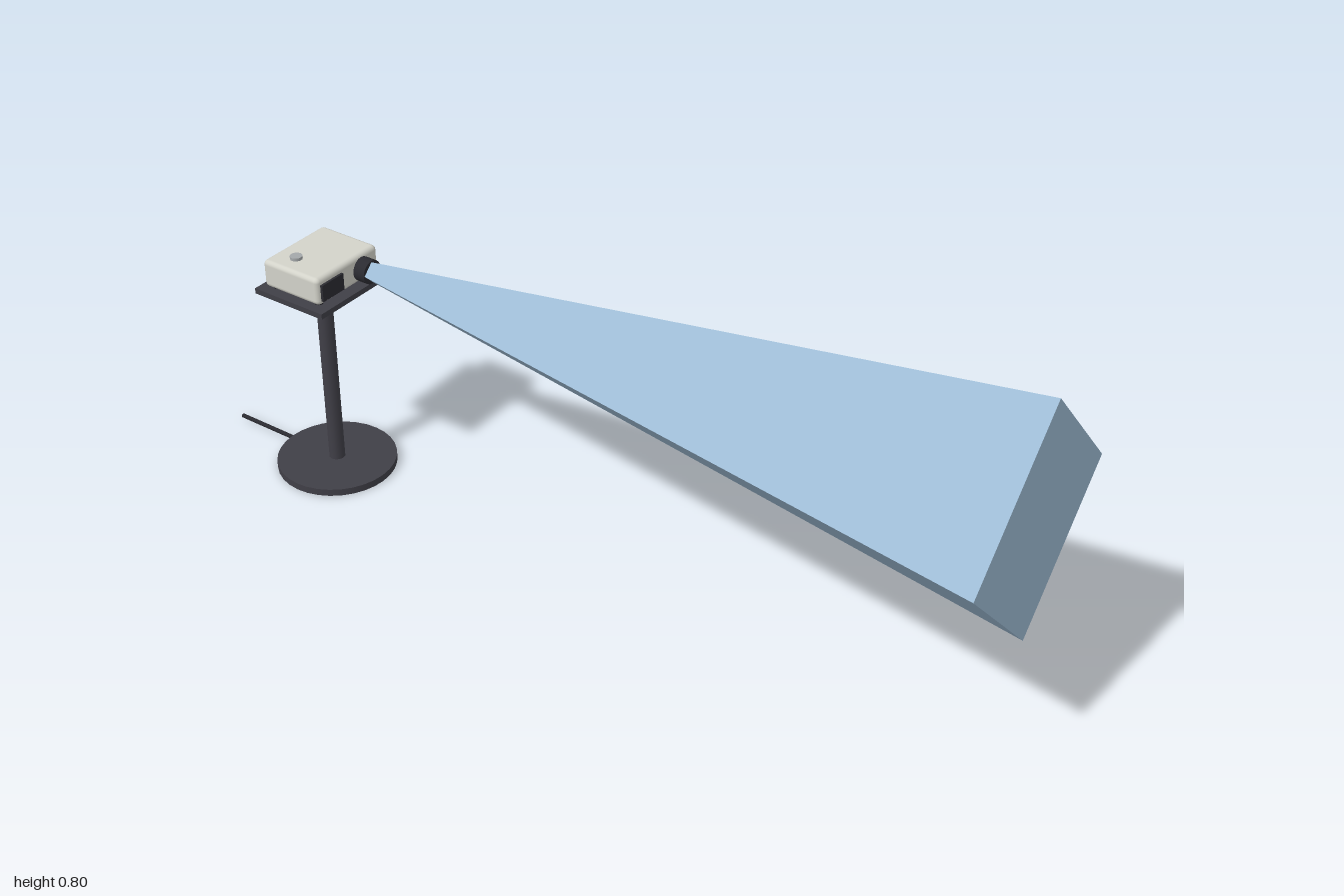
import * as THREE from 'three';
import { RoundedBoxGeometry } from 'three/addons/geometries/RoundedBoxGeometry.js';

const mat = (name, color) => {
  const m = new THREE.MeshStandardMaterial({ color });
  m.name = name;
  return m;
};

export function createModel() {
  const group = new THREE.Group();
  const standDark = mat('standDark', 0x403f47);
  const lensBlack = mat('lensBlack', 0x2b2b31);
  const casing = mat('casing', 0xd3d3ca);
  const buttonGrey = mat('buttonGrey', 0xa4a8aa);
  const beamBlue = mat('beamBlue', 0x9dbbd4);

  const add = (name, geometry, material, x, y, z) => {
    const mesh = new THREE.Mesh(geometry, material);
    mesh.name = name;
    mesh.position.set(x, y, z);
    group.add(mesh);
    return mesh;
  };
  const CX = -0.044, CZ = -0.697, LENS_Y = 0.526;

  // Stand: round foot, pole and tray
  add('base', new THREE.CylinderGeometry(0.14, 0.14, 0.017, 32), standDark, CX, 0.0085, CZ);
  add('pole', new THREE.CylinderGeometry(0.019, 0.019, 0.46, 12), standDark, CX, 0.247, CZ);
  add('tray', new THREE.BoxGeometry(0.224, 0.013, 0.195), standDark, CX, 0.483, CZ);

  // Power cable leaving the back of the foot
  add('cable', new THREE.CylinderGeometry(0.005, 0.005, 0.2, 8), lensBlack, CX, 0.011, -0.9)
    .rotation.x = Math.PI / 2;

  // Projector casing on four feet
  add('casing', new RoundedBoxGeometry(0.198, 0.066, 0.16, 2, 0.011), casing, CX, 0.528, CZ);
  for (const sx of [-1, 1]) for (const sz of [-1, 1]) {
    add('foot', new THREE.CylinderGeometry(0.01, 0.01, 0.008, 12), lensBlack,
      CX + sx * 0.078, 0.492, CZ + sz * 0.06);
  }

  // Front vent and top button
  add('frontVent', new THREE.BoxGeometry(0.068, 0.04, 0.008), lensBlack, -0.1, 0.526, -0.615);
  add('button', new THREE.CylinderGeometry(0.014, 0.014, 0.008, 16), buttonGrey, -0.095, 0.564, -0.72);

  // Lens barrel
  add('lens', new THREE.CylinderGeometry(0.028, 0.028, 0.04, 20), lensBlack, 0, LENS_Y, -0.607)
    .rotation.x = Math.PI / 2;

  // Light beam: a four-sided frustum with its corners on the x and y axes
  const beam = new THREE.CylinderGeometry(0.274, 0.025, 1.588, 4).toNonIndexed();
  beam.computeVertexNormals();
  add('beam', beam, beamBlue, 0, LENS_Y, 0.206).rotation.x = Math.PI / 2;

  return group;
}
